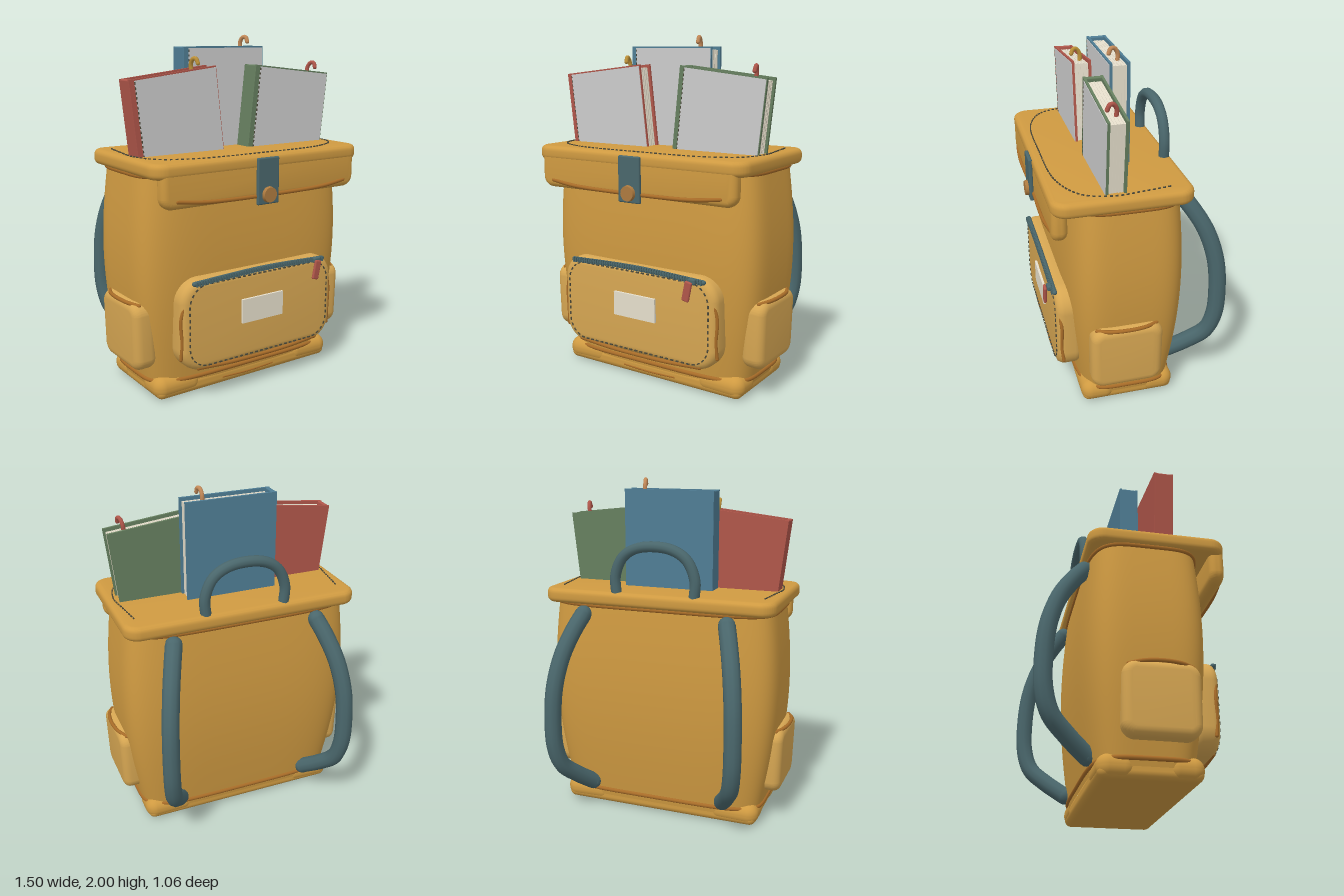
import * as THREE from 'three';
import { toCreasedNormals } from 'three/addons/utils/BufferGeometryUtils.js';
import { RoundedBoxGeometry } from 'three/addons/geometries/RoundedBoxGeometry.js';
import { ParametricGeometry } from 'three/addons/geometries/ParametricGeometry.js';

const mat = (color) => new THREE.MeshStandardMaterial({ color });
const M = {
  canvas: mat(0xcf9a41), pocket: mat(0xd6a652), piping: mat(0xa86c28), teal: mat(0x4a676c),
  thread: mat(0x4d4a3a), red: mat(0xb0564a), green: mat(0x667f5f), blue: mat(0x4f7d94),
  paper: mat(0xe6dfcc), grey: mat(0xcccccc), bronze: mat(0xad7a3f), gold: mat(0xbd9138), orange: mat(0xc48a58),
};
const V = (x, y, z) => new THREE.Vector3(x, y, z);

function add(parent, name, geometry, material, x = 0, y = 0, z = 0) {
  const mesh = new THREE.Mesh(geometry, material);
  mesh.name = name;
  mesh.position.set(x, y, z);
  parent.add(mesh);
  return mesh;
}

const spline = (points, closed = false) =>
  new THREE.CatmullRomCurve3(points.map((p) => V(...p)), closed, 'centripetal');

function roundRect(w, h, r) {
  const s = new THREE.Shape(), x = w / 2, y = h / 2;
  s.moveTo(-x + r, -y);
  s.lineTo(x - r, -y).absarc(x - r, -y + r, r, -Math.PI / 2, 0);
  s.lineTo(x, y - r).absarc(x - r, y - r, r, 0, Math.PI / 2);
  s.lineTo(-x + r, y).absarc(-x + r, y - r, r, Math.PI / 2, Math.PI);
  s.lineTo(-x, -y + r).absarc(-x + r, -y + r, r, Math.PI, Math.PI * 1.5);
  return s;
}

// Cushion with a rounded outline and rounded rims, centred, facing +z
function pad(w, h, d, r, bevel) {
  const g = new THREE.ExtrudeGeometry(roundRect(w - 2 * bevel, h - 2 * bevel, r), {
    depth: d - 2 * bevel, bevelSize: bevel, bevelThickness: bevel, bevelSegments: 5, curveSegments: 10,
  });
  g.translate(0, 0, bevel - d / 2);
  return toCreasedNormals(g, 0.6);
}

// Tube with rounded ends
function cord(parent, name, curve, r, material, segments = 48) {
  const mesh = add(parent, name, new THREE.TubeGeometry(curve, segments, r, 10, curve.closed === true), material);
  if (!curve.closed) for (const t of [0, 1]) {
    const p = curve.getPoint(t);
    add(parent, name + 'End', new THREE.SphereGeometry(r, 10, 8), material, p.x, p.y, p.z);
  }
  return mesh;
}

// Row of small dashes along a list of points
function stitches(parent, name, points, size = 0.007) {
  const group = new THREE.Group();
  group.name = name;
  for (let i = 0; i + 1 < points.length; i += 2) {
    const a = points[i], b = points[i + 1];
    const mid = a.clone().lerp(b, 0.5);
    const m = add(group, 'stitch', new THREE.BoxGeometry(size, size, a.distanceTo(b)), M.thread, mid.x, mid.y, mid.z);
    m.lookAt(b);
  }
  parent.add(group);
}

// Body outline at height y and angle a: a bulging rounded rectangle
function bodyPoint(a, y, target) {
  const t = (y - 0.06) / 1.24, bulge = Math.sin(Math.PI * Math.min(1, t * 0.86 + 0.04));
  const hx = 0.605 + 0.04 * t + 0.075 * bulge;
  const hz = 0.265 + 0.025 * t + 0.055 * bulge;
  const p = (c) => Math.sign(c) * Math.abs(c) ** 0.4;
  return target.set(hx * p(Math.cos(a)), y, 0.06 - hz * p(Math.sin(a)));
}

function addBook(parent, name, color, mark, x, y, z, tilt, markX) {
  const w = 0.545, h = 0.68, d = 0.112, book = new THREE.Group();
  book.name = name;
  book.position.set(x, y, z);
  book.rotation.z = tilt;
  for (const s of [-1, 1])
    add(book, 'cover', new THREE.BoxGeometry(w, h, 0.014), color, 0, -h / 2, s * (d / 2 - 0.007));
  add(book, 'spine', new RoundedBoxGeometry(0.025, h, d, 3, 0.008), color, -w / 2 + 0.012, -h / 2, 0);
  add(book, 'frontPanel', new THREE.BoxGeometry(w - 0.035, h - 0.016, 0.004), M.grey, 0.013, -h / 2, d / 2 + 0.001);
  add(book, 'pages', new THREE.BoxGeometry(w - 0.05, h - 0.04, d - 0.03), M.paper, 0.01, -h / 2, 0);
  // page layers on the open edge
  for (let i = -2; i <= 2; i++)
    add(book, 'pageLayer', new THREE.BoxGeometry(w - 0.045, h - 0.036, 0.006), M.paper, 0.011, -h / 2, i * 0.016);
  const seam = [];
  for (let i = 0; i < 40; i++) seam.push(V(-w / 2 + 0.032, -0.015 - i * 0.013, d / 2 + 0.003));
  stitches(book, 'spineStitching', seam, 0.005);
  cord(book, 'bookmark', spline([[markX, -0.05, -0.01], [markX, 0.02, -0.015], [markX + 0.005, 0.05, 0.005],
    [markX + 0.012, 0.05, 0.025], [markX + 0.014, 0.025, 0.037]]), 0.012, mark, 20);
  parent.add(book);
}

export function createModel() {
  const bag = new THREE.Group();
  bag.name = 'backpack';

  // Body
  add(bag, 'body', new ParametricGeometry((u, v, t) => bodyPoint(u * Math.PI * 2, 0.06 + v * 1.24, t), 120, 32), M.canvas);
  for (const [name, y] of [['topPiping', 1.275], ['basePiping', 0.1]]) {
    const ring = [];
    for (let i = 0; i < 64; i++) ring.push(bodyPoint((i / 64) * Math.PI * 2, y, V(0, 0, 0)).toArray());
    cord(bag, name, spline(ring, true), 0.013, M.piping, 160);
  }

  // Base with padded corners
  add(bag, 'base', new RoundedBoxGeometry(1.22, 0.1, 0.54, 5, 0.04), M.canvas, 0, 0.05, 0.065);
  for (const sx of [-1, 1]) for (const sz of [-1, 1]) {
    const c = add(bag, 'baseCorner', new RoundedBoxGeometry(0.3, 0.13, 0.2, 6, 0.062), M.canvas, sx * 0.472, 0.066, 0.065 + sz * 0.176);
    c.rotation.z = -sx * 0.02;
  }
  cord(bag, 'baseSeam', spline([[-0.18, 0.045, 0.332], [0, 0.04, 0.334], [0.18, 0.045, 0.332]]), 0.006, M.piping);

  // Lid and front flap
  const lid = add(bag, 'lid', pad(1.4, 0.77, 0.085, 0.06, 0.03), M.canvas, 0, 1.322, 0.107);
  lid.rotation.x = -Math.PI / 2;
  add(bag, 'frontFlap', pad(1.31, 0.235, 0.085, 0.03, 0.035), M.canvas, 0, 1.238, 0.447);
  cord(bag, 'flapPiping', spline([[-0.57, 1.165, 0.484], [-0.4, 1.147, 0.495], [0, 1.138, 0.488],
    [0.4, 1.147, 0.495], [0.57, 1.165, 0.484]]), 0.011, M.piping);
  stitches(bag, 'lidStitching', spline([[-0.62, 1.367, -0.15], [-0.64, 1.367, 0], [-0.655, 1.367, 0.16],
    [-0.6, 1.367, 0.32], [-0.42, 1.367, 0.415], [0, 1.367, 0.437], [0.42, 1.367, 0.415],
    [0.6, 1.367, 0.32], [0.655, 1.367, 0.16], [0.64, 1.367, 0], [0.62, 1.367, -0.15]]).getSpacedPoints(151));

  // Closing tab and button
  add(bag, 'closingTab', new RoundedBoxGeometry(0.145, 0.26, 0.022, 3, 0.008), M.teal, 0, 1.22, 0.5);
  const button = add(bag, 'button', new THREE.CylinderGeometry(0.042, 0.046, 0.022, 28), M.bronze, 0, 1.145, 0.519);
  button.rotation.x = Math.PI / 2;

  // Front pocket
  add(bag, 'frontPocket', pad(1.06, 0.53, 0.145, 0.09, 0.045), M.pocket, 0, 0.45, 0.388);
  for (const s of [-1, 1])
    cord(bag, 'pocketSidePiping', spline([[s * 0.49, 0.62, 0.447], [s * 0.525, 0.5, 0.435], [s * 0.52, 0.36, 0.437],
      [s * 0.525, 0.27, 0.43]]), 0.01, M.piping);
  cord(bag, 'pocketBottomPiping', spline([[-0.42, 0.2, 0.44], [-0.2, 0.19, 0.45], [0, 0.182, 0.44],
    [0.2, 0.19, 0.45], [0.42, 0.2, 0.44]]), 0.012, M.piping);
  stitches(bag, 'pocketStitching', roundRect(0.97, 0.47, 0.12).getSpacedPoints(150).map((p) => V(p.x, p.y + 0.45, 0.462)));

  // Zip with teeth and pull
  cord(bag, 'zip', spline([[-0.45, 0.695, 0.455], [0, 0.71, 0.457], [0.45, 0.695, 0.455]]), 0.014, M.teal);
  for (let i = -26; i <= 26; i++)
    add(bag, 'zipTooth', new THREE.BoxGeometry(0.008, 0.028, 0.016), M.teal, i * 0.017, 0.71 - 0.015 * (i / 26) ** 2, 0.467);
  add(bag, 'zipSlider', new RoundedBoxGeometry(0.05, 0.035, 0.03, 2, 0.01), M.teal, 0.39, 0.698, 0.475);
  const pull = add(bag, 'zipPull', new RoundedBoxGeometry(0.045, 0.115, 0.018, 3, 0.008), M.red, 0.373, 0.645, 0.499);
  pull.rotation.z = -0.2;

  // Plain label patch
  add(bag, 'label', new THREE.BoxGeometry(0.285, 0.14, 0.014), M.paper, 0, 0.482, 0.468);

  // Side pockets and shoulder straps, mirrored
  for (const s of [-1, 1]) {
    const p = add(bag, 'sidePocket', pad(0.41, 0.395, 0.135, 0.03, 0.045), M.pocket, s * 0.664, 0.382, 0.1);
    p.rotation.set(0, s * Math.PI / 2, -s * 0.03, 'ZYX');
    cord(bag, 'sidePocketPiping', spline([[s * 0.69, 0.565, -0.07], [s * 0.725, 0.572, 0],
      [s * 0.738, 0.575, 0.1], [s * 0.725, 0.572, 0.2], [s * 0.69, 0.565, 0.27]]), 0.011, M.piping);
    const path = [[1.225, -0.265], [1.14, -0.33], [1.0, -0.41], [0.82, -0.465], [0.62, -0.483],
      [0.45, -0.475], [0.33, -0.435], [0.24, -0.345], [0.15, -0.23]];
    const strap = spline(path.map(([y, z]) => [s * (0.43 + (-z - 0.25) * 0.5), y, z]));
    cord(bag, 'shoulderStrap', strap, 0.05, M.teal, 56);
  }

  // Carry handle
  cord(bag, 'carryHandle', spline([[-0.235, 1.34, -0.235], [-0.24, 1.46, -0.235], [-0.19, 1.57, -0.235],
    [-0.09, 1.625, -0.235], [0.09, 1.625, -0.235], [0.19, 1.57, -0.235], [0.24, 1.46, -0.235],
    [0.235, 1.34, -0.235]]), 0.031, M.teal);

  // Books
  addBook(bag, 'blueBook', M.blue, M.orange, -0.005, 1.935, 0.03, 0, 0.16);
  addBook(bag, 'redBook', M.red, M.gold, -0.413, 1.803, 0.147, 0.115, 0.155);
  addBook(bag, 'greenBook', M.green, M.red, 0.407, 1.803, 0.147, -0.11, 0.17);
  return bag;
}
